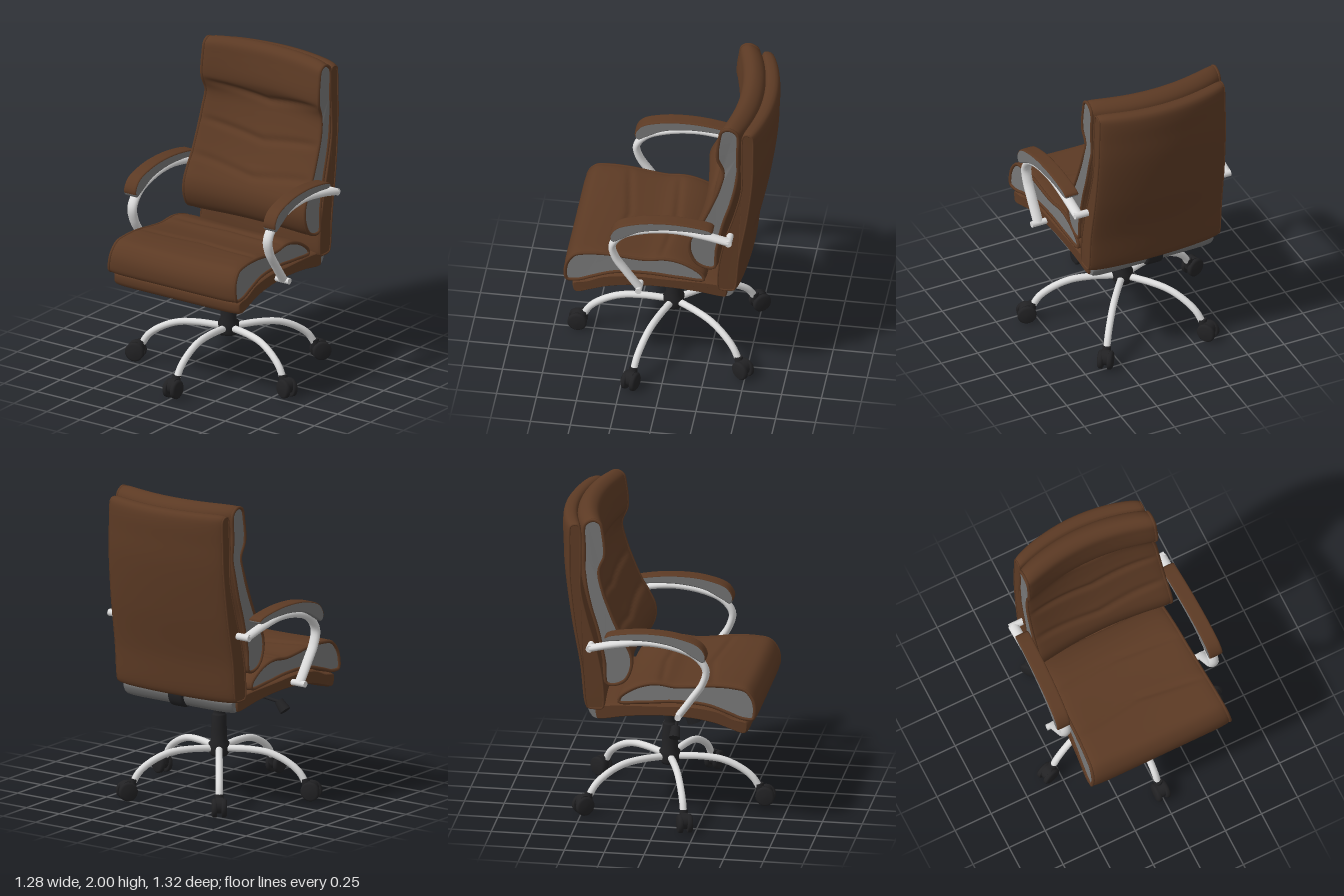
import * as THREE from 'three';

const mat = (name, color) => {
  const m = new THREE.MeshStandardMaterial({ color, side: THREE.DoubleSide });
  m.name = name;
  return m;
};

export function createModel() {
  const brown = mat('brownLeather', 0x5c3a24);
  const grey = mat('greyFabric', 0x747474);
  const metal = mat('paleMetal', 0xdcdcdc);
  const black = mat('blackPlastic', 0x222224);
  const root = new THREE.Group();
  const V = (x, y, z) => new THREE.Vector3(x, y, z);
  const clamp = THREE.MathUtils.clamp;

  const add = (name, geo, material, parent = root) => {
    const m = new THREE.Mesh(geo, material);
    m.name = name;
    parent.add(m);
    return m;
  };

  // Straight round bar between two points
  const rod = (name, a, b, r0, r1, material, parent = root) => {
    const d = b.clone().sub(a);
    const m = add(name, new THREE.CylinderGeometry(r1, r0, d.length(), 20), material, parent);
    m.position.copy(a).addScaledVector(d, 0.5);
    m.quaternion.setFromUnitVectors(V(0, 1, 0), d.normalize());
    return m;
  };

  // Upholstered body: closed [z, y] side profile swept across x, with side panels.
  // width(z,y), centre(z), bend(y): backward bow in the middle, groove(z,y,u,nz,ny): seam depth
  function upholstery(name, profile, o) {
    const N = o.n ?? 120, M = o.m ?? 28, inset = o.inset ?? 0.015;
    const curve = new THREE.CatmullRomCurve3(profile.map(([z, y]) => V(-z, y, 0)), true);
    let ring = curve.getSpacedPoints(N).slice(0, N).map(p => new THREE.Vector2(p.x, p.y));
    if (THREE.ShapeUtils.area(ring) < 0) ring.reverse();
    const normals = ring.map((p, i) => {
      const t = ring[(i + 1) % N].clone().sub(ring[(i + N - 1) % N]).normalize();
      return new THREE.Vector2(t.y, -t.x);
    });
    const point = (i, u) => {
      const n = normals[i], z0 = -ring[i].x, y0 = ring[i].y;
      const soft = inset * (1 - Math.sqrt(Math.max(0, 1 - Math.abs(u) ** 10)));
      const d = soft + (o.groove ? o.groove(z0, y0, u, -n.x, n.y) * (1 - u ** 6) : 0);
      const z = z0 + n.x * d, y = y0 - n.y * d;
      return V((o.centre ? o.centre(z) : 0) + u * o.width(z, y), y,
        z - (o.bend ? o.bend(y) * (1 - u * u) : 0));
    };
    const pos = [], main = [], under = [];
    for (let j = 0; j <= M; j++) {
      const u = Math.sin((j / M - 0.5) * Math.PI);
      for (let i = 0; i < N; i++) pos.push(...point(i, u).toArray());
    }
    for (let j = 0; j < M; j++) for (let i = 0; i < N; i++) {
      const k = (i + 1) % N, a = j * N + i, b = j * N + k, c = b + N, d = a + N;
      (o.under && normals[i].y < -0.3 ? under : main).push(a, b, c, a, c, d);
    }
    const group = new THREE.Group();
    group.name = name;
    root.add(group);
    const geo = new THREE.BufferGeometry();
    geo.setAttribute('position', new THREE.Float32BufferAttribute(pos, 3));
    geo.setIndex([...main, ...under]);
    geo.addGroup(0, main.length, 0);
    geo.addGroup(main.length, under.length, 1);
    geo.computeVertexNormals();
    add(name + 'Cover', geo, o.under ? [o.material, o.under] : o.material, group);

    // side panels and piping
    const tris = THREE.ShapeUtils.triangulateShape(ring, []);
    for (const s of [-1, 1]) {
      const edge = ring.map((p, i) => point(i, s));
      const cap = new THREE.BufferGeometry().setFromPoints(edge);
      cap.setIndex(tris.flatMap(([a, b, c]) => (s > 0 ? [a, b, c] : [a, c, b])));
      cap.computeVertexNormals();
      add(name + 'SidePanel', cap, o.panel ?? o.material, group);
      if (o.piping) {
        const path = new THREE.CatmullRomCurve3(edge.filter((_, i) => i % 2 === 0), true);
        add(name + 'Piping', new THREE.TubeGeometry(path, N, o.piping, 6, true), o.material, group);
      }
    }
  }

  const seam = (d, w) => Math.exp(-((d / w) ** 2));
  const seatWidth = z => 0.43 + (z + 0.27) * 0.055;

  // Seat cushion
  upholstery('seatCushion', [
    [0.625, 0.80], [0.61, 0.87], [0.56, 0.93], [0.47, 0.948], [0.33, 0.948], [0.2, 0.932], [0.1, 0.925],
    [0, 0.935], [-0.08, 0.925], [-0.18, 0.885], [-0.26, 0.82], [-0.26, 0.775], [-0.1, 0.78],
    [0.1, 0.80], [0.3, 0.795], [0.44, 0.755], [0.53, 0.725], [0.61, 0.73],
  ], {
    material: brown, panel: grey, piping: 0.011, n: 160,
    width: (z, y) => seatWidth(z) - 0.018 * clamp((y - 0.76) / 0.18, 0, 1),
    groove: (z, y, u, nz, ny) => Math.max(0, ny) * (0.012 * (1 - u * u)
      + 0.012 * seam(z - 0.27 - 0.07 * Math.abs(u), 0.022)
      + 0.012 * seam(z + 0.02 - 0.04 * Math.abs(u), 0.022)),
  });

  // Seat pan
  upholstery('seatPan', [
    [0.57, 0.715], [0.545, 0.728], [0.48, 0.74], [0.38, 0.78], [0.2, 0.80], [0, 0.79], [-0.32, 0.77],
    [-0.40, 0.75], [-0.395, 0.66], [-0.37, 0.655], [-0.2, 0.685], [0, 0.705], [0.2, 0.705],
    [0.35, 0.685], [0.45, 0.655], [0.54, 0.63], [0.565, 0.645],
  ], { material: brown, width: z => Math.min(0.475, seatWidth(z) + 0.003) });

  // Grey strip closing the rear of the seat
  upholstery('rearStrip', [[-0.37, 0.655], [-0.37, 0.74], [-0.45, 0.74], [-0.455, 0.72], [-0.42, 0.66]],
    { material: grey, width: () => 0.415, n: 50, m: 12 });

  // Backrest cushion
  const bow = y => 0.035 + 0.045 * clamp((y - 0.75) / 1.1, 0, 1);
  upholstery('backCushion', [
    [-0.41, 2.0], [-0.355, 1.975], [-0.335, 1.9], [-0.325, 1.75], [-0.36, 1.65], [-0.34, 1.54], [-0.295, 1.41],
    [-0.24, 1.28], [-0.2, 1.21], [-0.155, 1.11], [-0.155, 1.02], [-0.2, 0.93], [-0.28, 0.895], [-0.335, 0.91],
    [-0.35, 1.05], [-0.39, 1.25], [-0.44, 1.42], [-0.475, 1.6], [-0.48, 1.8], [-0.475, 1.96],
  ], {
    material: brown, panel: grey, piping: 0.011, n: 200,
    bend: bow,
    width: (z, y) => 0.44 + 0.018 * clamp((1.9 - y) / 0.9, 0, 1) - 0.01 * seam(y - 1.66, 0.08),
    groove: (z, y, u, nz) => {
      const v = 0.07 * Math.abs(u);
      return Math.max(0, nz) * 0.016 * [1.65, 1.41, 1.2].reduce((t, s) => t + seam(y - s - v, 0.022), 0);
    },
  });

  // Backrest outer shell
  upholstery('backShell', [
    [-0.5, 1.955], [-0.485, 1.94], [-0.475, 1.7], [-0.475, 1.52], [-0.43, 1.32], [-0.375, 1.13], [-0.335, 0.92],
    [-0.33, 0.76], [-0.34, 0.735], [-0.44, 0.73], [-0.46, 0.745], [-0.49, 1.0], [-0.54, 1.3],
    [-0.572, 1.6], [-0.575, 1.75], [-0.57, 1.93], [-0.555, 1.952],
  ], {
    material: brown, n: 140, bend: bow, piping: 0.006,
    width: (z, y) => 0.43 + 0.02 * clamp((1.9 - y) / 0.9, 0, 1),
  });

  // Armrests: padded top on a bent, flattened tube
  for (const s of [-1, 1]) {
    upholstery(s > 0 ? 'leftArmPad' : 'rightArmPad', [
      [0.32, 1.165], [0.28, 1.235], [0.14, 1.285], [-0.02, 1.3], [-0.18, 1.29], [-0.31, 1.262], [-0.325, 1.245],
      [-0.31, 1.23], [-0.18, 1.24], [-0.02, 1.24], [0.14, 1.21], [0.25, 1.15], [0.3, 1.125],
    ], {
      material: brown, panel: grey, under: grey, n: 80, m: 14, inset: 0.008,
      width: () => 0.045, centre: z => s * (0.516 + 0.037 * z),
    });
    const arm = new THREE.Group();
    arm.name = s > 0 ? 'leftArmFrame' : 'rightArmFrame';
    root.add(arm);
    const path = new THREE.CatmullRomCurve3([
      [0.14, 0.75], [0.225, 0.87], [0.29, 0.97], [0.31, 1.06], [0.25, 1.145],
      [0.115, 1.2], [-0.07, 1.222], [-0.25, 1.2], [-0.42, 1.163],
    ].map(([z, y]) => V(0, y, z)));
    const tube = add('armTube', new THREE.TubeGeometry(path, 60, 0.023, 14), metal, arm);
    tube.scale.x = 1.45;
    tube.position.x = s * 0.513;
    rod('armSeatMount', V(s * 0.46, 0.75, 0.14), V(s * 0.56, 0.75, 0.14), 0.02, 0.02, metal, arm);
    rod('armBackMount', V(s * 0.43, 1.163, -0.42), V(s * 0.537, 1.163, -0.42), 0.022, 0.022, metal, arm);
  }

  // Tilt mechanism, rear bracket, tension knob and height lever
  upholstery('tiltMechanism', [[0.19, 0.715], [0.19, 0.69], [0.12, 0.665], [0.07, 0.61], [-0.07, 0.605],
    [-0.12, 0.655], [-0.17, 0.69], [-0.17, 0.715]], { material: black, width: () => 0.09, n: 60, m: 12 });
  upholstery('rearBracket', [[-0.08, 0.69], [-0.3, 0.685], [-0.43, 0.7], [-0.45, 0.75], [-0.475, 0.75],
    [-0.46, 0.675], [-0.42, 0.645], [-0.3, 0.65], [-0.08, 0.635]],
  { material: black, width: () => 0.055, n: 60, m: 12 });
  rod('knobStem', V(0.03, 0.67, 0.09), V(0.03, 0.59, 0.125), 0.033, 0.033, black);
  rod('tensionKnob', V(0.03, 0.59, 0.125), V(0.03, 0.51, 0.155), 0.047, 0.05, black);
  rod('leverRod', V(-0.05, 0.67, 0.08), V(-0.39, 0.62, 0.1), 0.01, 0.01, black);
  rod('leverPaddle', V(-0.385, 0.625, 0.1), V(-0.435, 0.57, 0.1), 0.028, 0.036, black);

  // Gas column with bellows, and hub
  const column = [[0, 0.24], [0.05, 0.24], [0.063, 0.26], [0.066, 0.32], [0.05, 0.335], [0.05, 0.42], [0.046, 0.425],
    [0.046, 0.5], [0.038, 0.505]];
  for (let i = 0; i < 6; i++) column.push([0.038, 0.51 + i * 0.02], [0.031, 0.52 + i * 0.02]);
  column.push([0.031, 0.66]);
  add('gasColumn', new THREE.LatheGeometry(column.map(p => new THREE.Vector2(...p)), 28), black);

  // Five curved legs with twin-wheel casters
  const legPath = new THREE.CatmullRomCurve3([[0.04, 0.287], [0.2, 0.293], [0.33, 0.28], [0.44, 0.235],
    [0.52, 0.175], [0.568, 0.1]].map(([r, y]) => V(0, y, r)));
  for (let k = 0; k < 5; k++) {
    const leg = new THREE.Group();
    leg.name = 'baseLeg' + (k + 1);
    leg.rotation.y = k * Math.PI * 2 / 5;
    root.add(leg);
    add('legTube', new THREE.TubeGeometry(legPath, 36, 0.022, 12), metal, leg);
    rod('casterStem', V(0, 0.07, 0.575), V(0, 0.135, 0.562), 0.03, 0.026, black, leg);
    rod('casterHood', V(-0.022, 0.075, 0.598), V(0.022, 0.075, 0.598), 0.05, 0.05, black, leg);
    for (const s of [-1, 1]) {
      const wheel = [[0, -0.016], [0.052, -0.016], [0.06, -0.01], [0.06, 0.008], [0.048, 0.018], [0, 0.02]];
      const w = add('casterWheel', new THREE.LatheGeometry(wheel.map(p => new THREE.Vector2(...p)), 24), black, leg);
      w.rotation.z = -s * Math.PI / 2;
      w.position.set(s * 0.029, 0.06, 0.602);
    }
  }
  return root;
}
